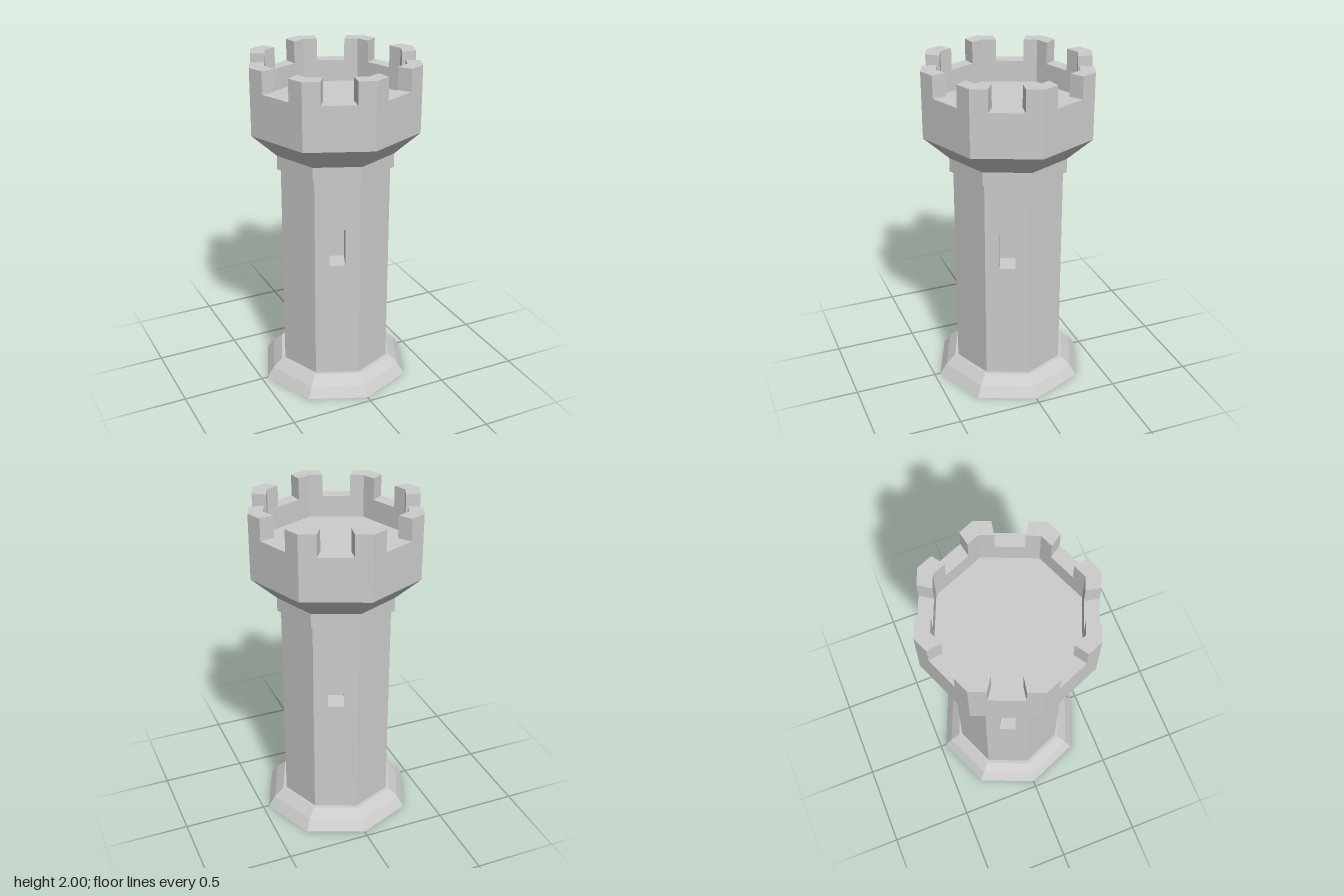
import * as THREE from 'three';

const SIDES = 8;
const STEP = (Math.PI * 2) / SIDES;
const SHAFT_R = 0.34, RIM_OUT = 0.512, RIM_IN = 0.423;
const NOTCH_Y = 1.87, TOP_Y = 2;
const WIN = { w: 0.092, y0: 0.845, y1: 1.075, depth: 0.13 };

const stone = new THREE.MeshStandardMaterial({ color: 0xcccccc, flatShading: true });

function faceted(geometry) {
  const g = geometry.index ? geometry.toNonIndexed() : geometry;
  g.computeVertexNormals();
  return g;
}

function part(name, geometry) {
  const mesh = new THREE.Mesh(faceted(geometry), stone);
  mesh.name = name;
  return mesh;
}

// Octagonal ring from a [radius, height] profile, one corner towards +z
function octagon(name, profile) {
  const points = profile.map(([r, y]) => new THREE.Vector2(r, y));
  return part(name, new THREE.LatheGeometry(points, SIDES));
}

function rectangle(Type, x0, y0, x1, y1) {
  const s = new Type();
  s.moveTo(x0, y0);
  s.lineTo(x1, y0);
  s.lineTo(x1, y1);
  s.lineTo(x0, y1);
  s.closePath();
  return s;
}

// One flat side of the shaft, with an optional window recess
function wall(hasWindow) {
  const group = new THREE.Group();
  group.name = hasWindow ? 'windowWall' : 'plainWall';
  const half = SHAFT_R * Math.sin(STEP / 2);
  const apothem = SHAFT_R * Math.cos(STEP / 2);
  const shape = rectangle(THREE.Shape, -half, 0.1, half, 1.39);
  if (hasWindow) {
    shape.holes.push(rectangle(THREE.Path, -WIN.w / 2, WIN.y0, WIN.w / 2, WIN.y1));
    // Box without its front, turned inside out
    const box = new THREE.BoxGeometry(WIN.w, WIN.y1 - WIN.y0, WIN.depth);
    const index = Array.from(box.index.array);
    box.setIndex([...index.slice(0, 24), ...index.slice(30)].reverse());
    const recess = part('windowRecess', box);
    recess.position.set(0, (WIN.y0 + WIN.y1) / 2, apothem - WIN.depth / 2);
    group.add(recess);
  }
  const panel = part('wallPanel', new THREE.ShapeGeometry(shape));
  panel.position.z = apothem;
  group.add(panel);
  return group;
}

// Battlement block wrapped around a corner of the rim, with radial ends
function merlonGeometry() {
  const spread = THREE.MathUtils.degToRad(10.75);
  const onRim = (R, a) => {
    const r = (R * Math.cos(STEP / 2)) / Math.cos(STEP / 2 - Math.abs(a));
    return new THREE.Vector2(r * Math.sin(a), -r * Math.cos(a));
  };
  const shape = new THREE.Shape([
    ...[-spread, 0, spread].map((a) => onRim(RIM_OUT, a)),
    ...[spread, 0, -spread].map((a) => onRim(RIM_IN, a)),
  ]);
  const g = new THREE.ExtrudeGeometry(shape, { depth: TOP_Y - NOTCH_Y, bevelEnabled: false });
  return g.rotateX(-Math.PI / 2).translate(0, NOTCH_Y, 0);
}

export function createModel() {
  const tower = new THREE.Group();
  tower.name = 'tower';

  // Flared foot
  tower.add(octagon('foot', [[0, 0], [0.463, 0], [0.42, 0.062], [0.362, 0.115], [0.33, 0.115]]));

  // Shaft, a window on every other side
  const shaft = new THREE.Group();
  shaft.name = 'shaft';
  for (let i = 0; i < SIDES; i++) {
    const side = wall(i % 2 === 1);
    side.rotation.y = (i + 0.5) * STEP;
    shaft.add(side);
  }
  tower.add(shaft);

  // Collar under the flared crown
  tower.add(octagon('collar', [[0.33, 1.385], [0.362, 1.385], [0.362, 1.468]]));

  // Crown: flare, parapet and sunken floor
  tower.add(octagon('crown', [
    [0.362, 1.468], [RIM_OUT, 1.61], [RIM_OUT, NOTCH_Y],
    [RIM_IN, NOTCH_Y], [RIM_IN, 1.74], [0, 1.74],
  ]));

  // Battlements
  const merlons = new THREE.Group();
  merlons.name = 'battlements';
  for (let i = 0; i < SIDES; i++) {
    const merlon = part('merlon', merlonGeometry());
    merlon.rotation.y = i * STEP;
    merlons.add(merlon);
  }
  tower.add(merlons);

  return tower;
}
